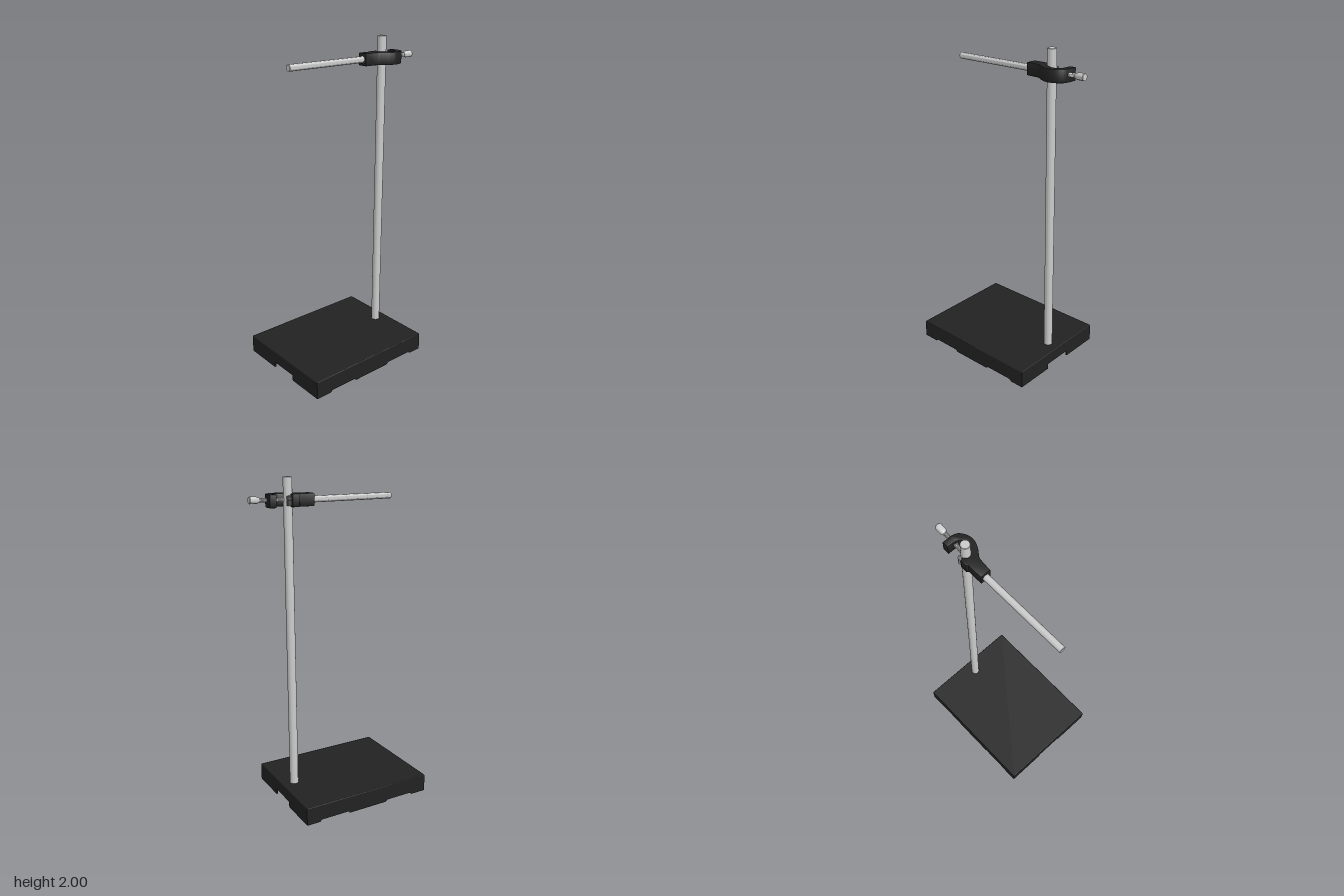
import * as THREE from 'three';
import { toCreasedNormals } from 'three/addons/utils/BufferGeometryUtils.js';
import { RoundedBoxGeometry } from 'three/addons/geometries/RoundedBoxGeometry.js';

const steel = new THREE.MeshStandardMaterial({ color: 0xcccccc });
const darkSteel = new THREE.MeshStandardMaterial({ color: 0x777777 });
const black = new THREE.MeshStandardMaterial({ color: 0x222222 });
const v = (x, y, z) => new THREE.Vector3(x, y, z);

function part(name, geometry, material) {
  const mesh = new THREE.Mesh(geometry, material);
  mesh.name = name;
  return mesh;
}

// Turn a [radius, distance] profile around the line from a towards b
function turned(name, profile, a, b, material, sides = 32) {
  const pts = profile.map(([r, d]) => new THREE.Vector2(r, d));
  const mesh = part(name, toCreasedNormals(new THREE.LatheGeometry(pts, sides), 0.6), material);
  mesh.position.copy(a);
  mesh.quaternion.setFromUnitVectors(v(0, 1, 0), b.clone().sub(a).normalize());
  return mesh;
}

// Straight rod with a small chamfer at both ends
function rod(name, a, b, r) {
  const l = a.distanceTo(b), c = 0.002;
  return turned(name, [[0, 0], [r - c, 0], [r, c], [r, l - c], [r - c, l], [0, l]], a, b, steel);
}

// Skirt wall with notches [from, to] cut up into its lower edge
function wallGeometry(width, height, thick, notches, depth, slope) {
  const s = new THREE.Shape();
  s.moveTo(-width / 2, 0);
  for (const [a, b] of notches) {
    s.lineTo(a, 0);
    s.lineTo(a + slope, depth);
    s.lineTo(b - slope, depth);
    s.lineTo(b, 0);
  }
  s.lineTo(width / 2, 0);
  s.lineTo(width / 2, height);
  s.lineTo(-width / 2, height);
  return new THREE.ExtrudeGeometry(s, { depth: thick, bevelEnabled: false });
}

function createBase() {
  const base = new THREE.Group();
  base.name = 'base';
  const W = 0.686, D = 0.86, y0 = 0.005, top = 0.116, slab = 0.02, t = 0.01;
  const cz = 0.073;
  // The casting sits slightly skewed and tilted
  const skew = new THREE.Matrix4().set(
    1, 0, 0.0117, 0,
    -0.01, 1, 0, 0,
    0.0117, 0, 1, cz,
    0, 0, 0, 1);
  const add = (name, g) => base.add(part(name, g.applyMatrix4(skew), black));

  add('baseTop', new RoundedBoxGeometry(W, slab, D, 2, 0.005).translate(0, top - slab / 2, 0));
  const h = top - 0.007 - y0;
  for (const s of [1, -1]) {
    // front and back walls with the tall middle notch
    const end = wallGeometry(W - 0.002, h, t, [[-0.093, 0.097]], 0.036, 0.003);
    add(s > 0 ? 'frontSkirt' : 'backSkirt', end.translate(0, y0, s * (D - t) / 2 - t / 2));
    // side walls with two shallow notches; the wall's own x runs along -z
    const side = wallGeometry(D - 0.002, h, t, [[cz - 0.40, cz - 0.2], [cz + 0.06, cz + 0.27]], 0.012, 0.014);
    side.rotateY(Math.PI / 2);
    add(s > 0 ? 'leftSkirt' : 'rightSkirt', side.translate(s * (W - t) / 2 - t / 2, y0, 0));
  }
  return base;
}

// Hook-shaped clamp: outline in x and z, extruded downwards
function createClampBody() {
  const p = (x, z) => new THREE.Vector2(x, z);
  const s = new THREE.Shape();
  s.moveTo(-0.019, -0.125);
  s.lineTo(0.044, -0.125);
  s.lineTo(0.049, -0.2);
  // outer curve of the hook
  s.splineThru([p(0.056, -0.22), p(0.086, -0.265), p(0.101, -0.315), p(0.09, -0.36), p(0.063, -0.393), p(0.026, -0.405)]);
  s.lineTo(-0.027, -0.405);
  s.lineTo(-0.027, -0.365);
  s.lineTo(0.016, -0.365);
  // inner curve back to the seat
  s.splineThru([p(0.042, -0.357), p(0.058, -0.33), p(0.055, -0.298), p(0.043, -0.272)]);
  s.lineTo(0.016, -0.25);
  s.lineTo(-0.012, -0.272);
  s.lineTo(-0.03, -0.265);
  s.lineTo(-0.03, -0.225);
  s.lineTo(-0.019, -0.218);
  const b = 0.004, height = 0.074;
  const g = new THREE.ExtrudeGeometry(s, {
    depth: height - 2 * b, bevelThickness: b, bevelSize: b, bevelOffset: -b, bevelSegments: 2, curveSegments: 24,
  });
  g.rotateX(Math.PI / 2).translate(0, 1.907 - b, 0);
  return part('clampBody', toCreasedNormals(g, 0.6), black);
}

function createScrew() {
  const screw = new THREE.Group();
  screw.name = 'clampScrew';
  const tip = v(0.021, 1.872, -0.3), end = v(0.028, 1.877, -0.508);
  // threaded shank
  const thread = [[0, 0], [0.01, 0]];
  for (let i = 0; i < 30; i++) {
    thread.push([0.0105, 0.001 + i * 0.0052], [0.0125, 0.0036 + i * 0.0052]);
  }
  thread.push([0, 0.157]);
  screw.add(turned('screwThread', thread, tip, end, steel, 20));
  // cylindrical knob with a short tapered neck
  screw.add(turned('screwKnob', [[0, 0.148], [0.014, 0.148], [0.015, 0.154], [0.0195, 0.163],
    [0.0205, 0.205], [0.0185, 0.208], [0, 0.208]], tip, end, steel, 24));
  return screw;
}

export function createModel() {
  const model = new THREE.Group();
  model.name = 'laboratoryStand';
  model.add(createBase());
  model.add(rod('uprightPost', v(-0.004, 0.1, -0.276), v(0.0165, 2, -0.276), 0.0265));

  const clamp = new THREE.Group();
  clamp.name = 'clamp';
  clamp.add(createClampBody(), createScrew());
  // ribbed jaw insert beside the post
  const ribs = [[0, 0]];
  for (let i = 0; i < 8; i++) ribs.push([0.013, i * 0.007], [0.015, i * 0.007 + 0.0035]);
  ribs.push([0, 0.056]);
  clamp.add(turned('jawInsert', ribs, v(-0.015, 1.842, -0.282), v(-0.015, 1.9, -0.282), darkSteel, 16));
  model.add(clamp);

  model.add(rod('crossRod', v(0.0125, 1.87, -0.15), v(0.0185, 1.87, 0.418), 0.0195));
  return model;
}
